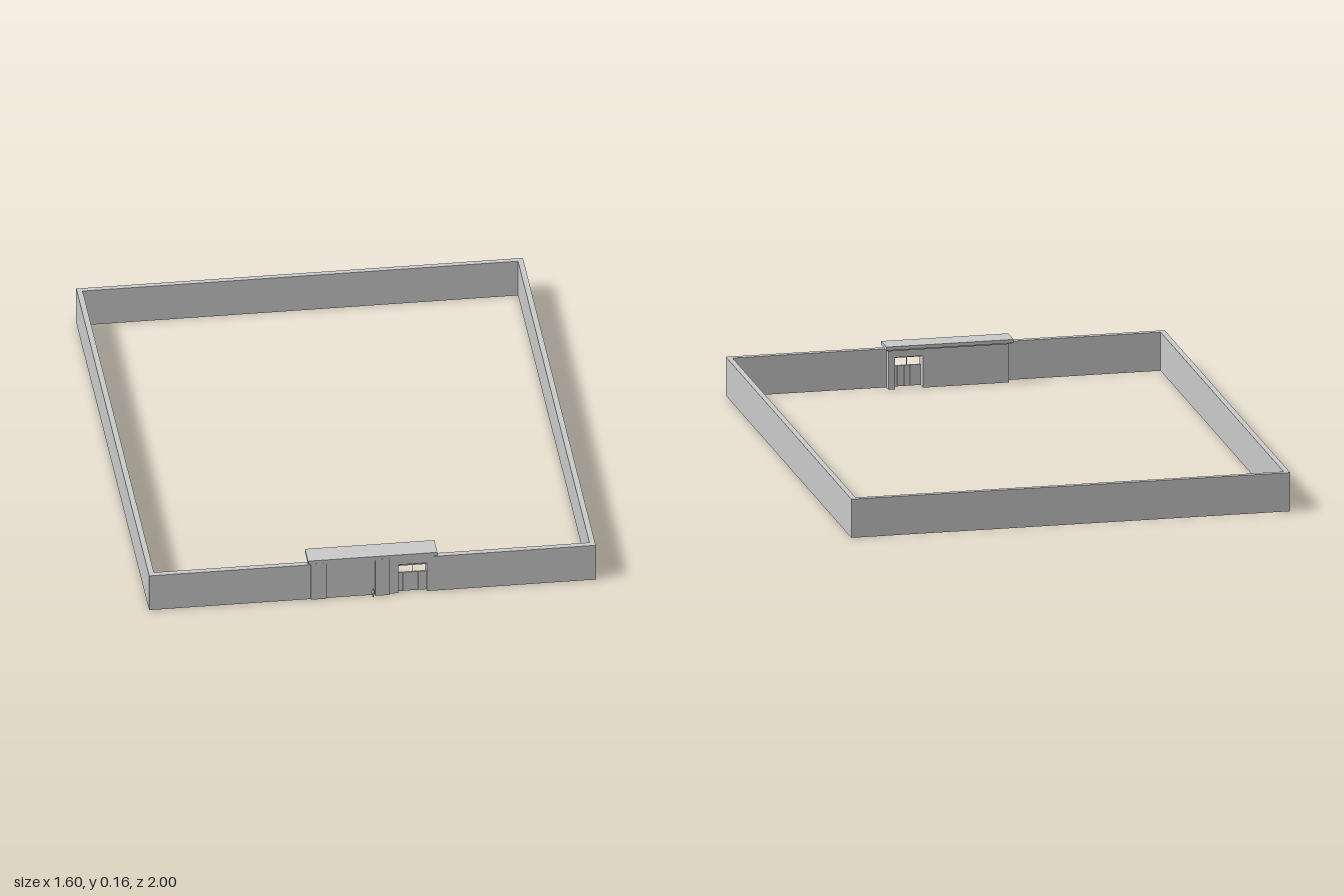
import * as THREE from 'three';

export function createModel() {
  const model = new THREE.Group();
  const material = new THREE.MeshStandardMaterial({ color: 0xcccccc });

  // Box given by its lower and upper limits on each axis
  function block(name, x0, x1, y0, y1, z0, z1, parent = model) {
    const mesh = new THREE.Mesh(new THREE.BoxGeometry(x1 - x0, y1 - y0, z1 - z0), material);
    mesh.position.set((x0 + x1) / 2, (y0 + y1) / 2, (z0 + z1) / 2);
    mesh.name = name;
    parent.add(mesh);
    return mesh;
  }

  // Perimeter wall, open at the gatehouse
  const H = 0.142, FRONT = 0.98, T = 0.02;
  block('backWall', -0.8, 0.8, 0, H, -1, -1 + T);
  for (const s of [-1, 1]) {
    const side = s < 0 ? 'right' : 'left';
    block(side + 'SideWall', Math.min(s * 0.8, s * 0.78), Math.max(s * 0.8, s * 0.78), 0, H, -1 + T, FRONT);
    block(side + 'FrontWall', s < 0 ? -0.78 : 0.22, s < 0 ? -0.22 : 0.78, 0, H, FRONT - 0.022, FRONT);
  }

  // Gatehouse body with its doorway cut through
  const gatehouse = new THREE.Group();
  gatehouse.name = 'gatehouse';
  model.add(gatehouse);
  const D0 = 0.094, D1 = 0.195, DTOP = 0.117, BACK = 0.925;
  const outline = new THREE.Shape();
  [[-0.22, 0], [D0, 0], [D0, DTOP], [D1, DTOP], [D1, 0], [0.22, 0], [0.22, 0.148], [-0.22, 0.148]]
    .forEach(([x, y], i) => (i ? outline.lineTo(x, y) : outline.moveTo(x, y)));
  const body = new THREE.Mesh(
    new THREE.ExtrudeGeometry(outline, { depth: FRONT - BACK, bevelEnabled: false }), material);
  body.position.z = BACK;
  body.name = 'gatehouseBody';
  gatehouse.add(body);

  // Front pilasters and stepped flat roof
  block('endPilaster', -0.221, -0.165, 0, 0.148, FRONT - 0.005, 0.985, gatehouse);
  block('doorPilaster', 0.01, 0.06, 0, 0.152, FRONT - 0.005, 0.9885, gatehouse);
  block('roofLowerStep', -0.226, 0.226, 0.145, 0.151, 0.91, 0.984, gatehouse);
  block('roofSlab', -0.232, 0.232, 0.15, 0.163, 0.904, 0.988, gatehouse);

  // Double gate with close vertical slats, and a louvred strip above
  const gate = new THREE.Group();
  gate.name = 'gate';
  model.add(gate);
  const mid = (D0 + D1) / 2, GZ = 0.965;
  block('gatePanel', D0, D1, 0, 0.076, GZ - 0.002, GZ + 0.002, gate);
  const slats = 20, pitch = (D1 - D0) / slats;
  for (let i = 0; i < slats; i++) {
    const x = D0 + (i + 0.5) * pitch;
    block('gateSlat', x - pitch * 0.3, x + pitch * 0.3, 0.002, 0.077, GZ - 0.0035, GZ + 0.0035, gate);
  }
  block('gateMullion', mid - 0.001, mid + 0.001, 0.07, 0.106, GZ - 0.0015, GZ + 0.0015, gate);
  block('transomPanel', D0, D1, 0.105, DTOP, GZ - 0.002, GZ + 0.002, gate);
  for (let i = 0; i < 4; i++) {
    const y = 0.1055 + i * 0.003;
    block('transomLouvre', D0, D1, y, y + 0.0015, GZ - 0.0035, GZ + 0.0035, gate);
  }

  // Small standing figure in front of the wall
  const profile = [[0, 0], [0.0025, 0.001], [0.003, 0.012], [0.006, 0.018], [0.006, 0.026],
    [0.002, 0.03], [0.003, 0.034], [0, 0.038]].map(([r, y]) => new THREE.Vector2(r, y));
  const figure = new THREE.Mesh(new THREE.LatheGeometry(profile, 12), material);
  figure.scale.z = 0.35;
  figure.position.set(0, 0, 0.9975);
  figure.name = 'standingFigure';
  model.add(figure);

  return model;
}
